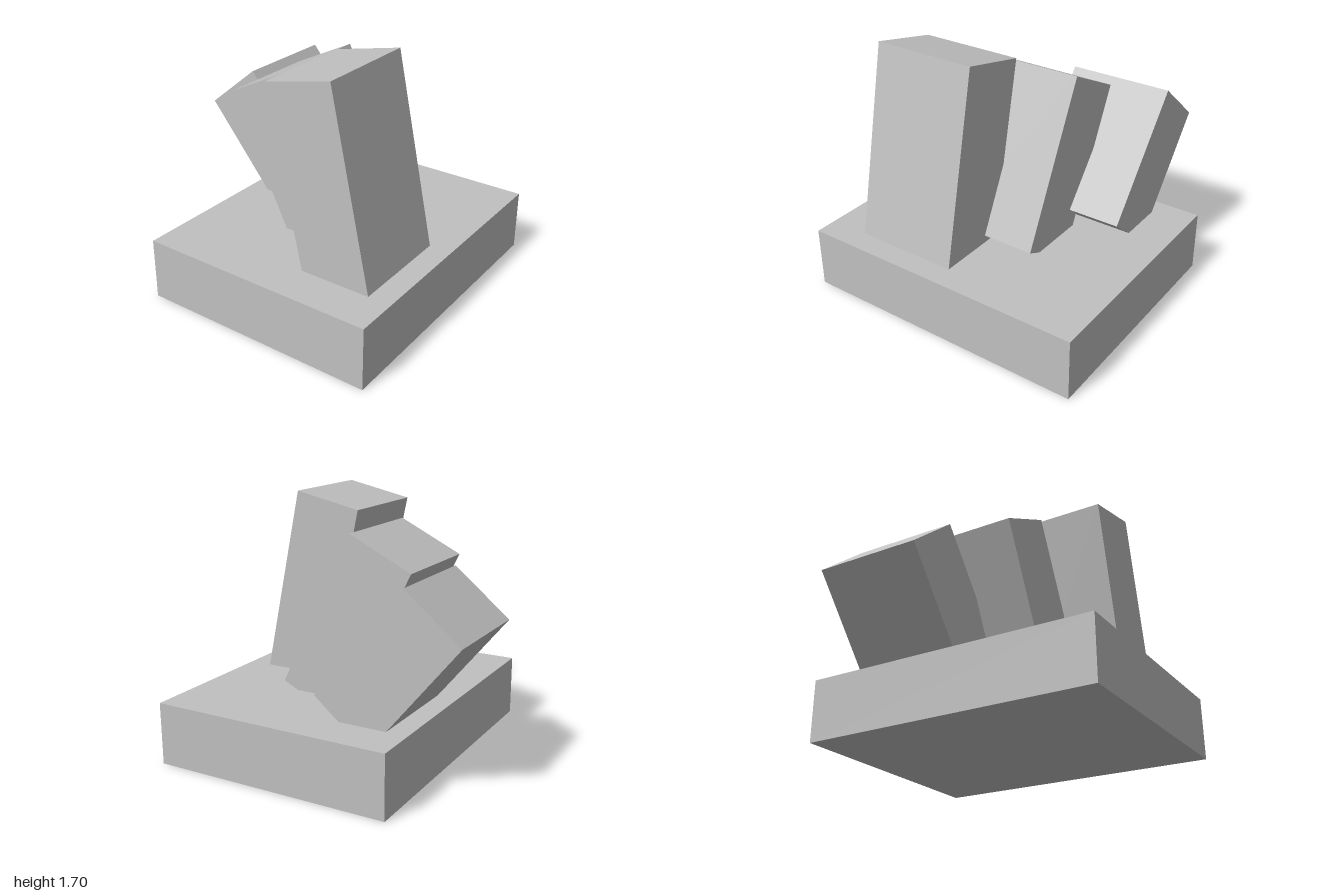
import * as THREE from 'three';

export function createModel() {
  const group = new THREE.Group();
  const grey = new THREE.MeshStandardMaterial({ color: 0xc0c0c0 });
  grey.name = 'light grey';

  const addBox = (name, w, h, d) => {
    const mesh = new THREE.Mesh(new THREE.BoxGeometry(w, h, d), grey);
    mesh.name = name;
    group.add(mesh);
    return mesh;
  };

  // Flat plinth
  addBox('base', 1.64, 0.42, 2).position.set(0.165, 0.21, 0);

  // Leaning blocks, each placed by its top edge and sunk into the base
  const blocks = [
    { name: 'shortBlock', left: [-0.985, 1.0], right: [-0.615, 1.302], length: 0.955, z: -0.36 },
    { name: 'middleBlock', left: [-0.485, 1.3], right: [-0.055, 1.51], length: 1.156, z: 0 },
    { name: 'tallBlock', left: [0.09, 1.597], right: [0.555, 1.697], length: 1.357, z: 0.36 },
  ];
  for (const { name, left, right, length, z } of blocks) {
    const a = new THREE.Vector2(...left);
    const b = new THREE.Vector2(...right);
    const angle = b.clone().sub(a).angle();
    const mid = a.clone().add(b).multiplyScalar(0.5);
    const block = addBox(name, a.distanceTo(b), length, 0.72);
    block.rotation.z = angle;
    block.position.set(
      mid.x + Math.sin(angle) * length / 2,
      mid.y - Math.cos(angle) * length / 2,
      z
    );
  }
  return group;
}
